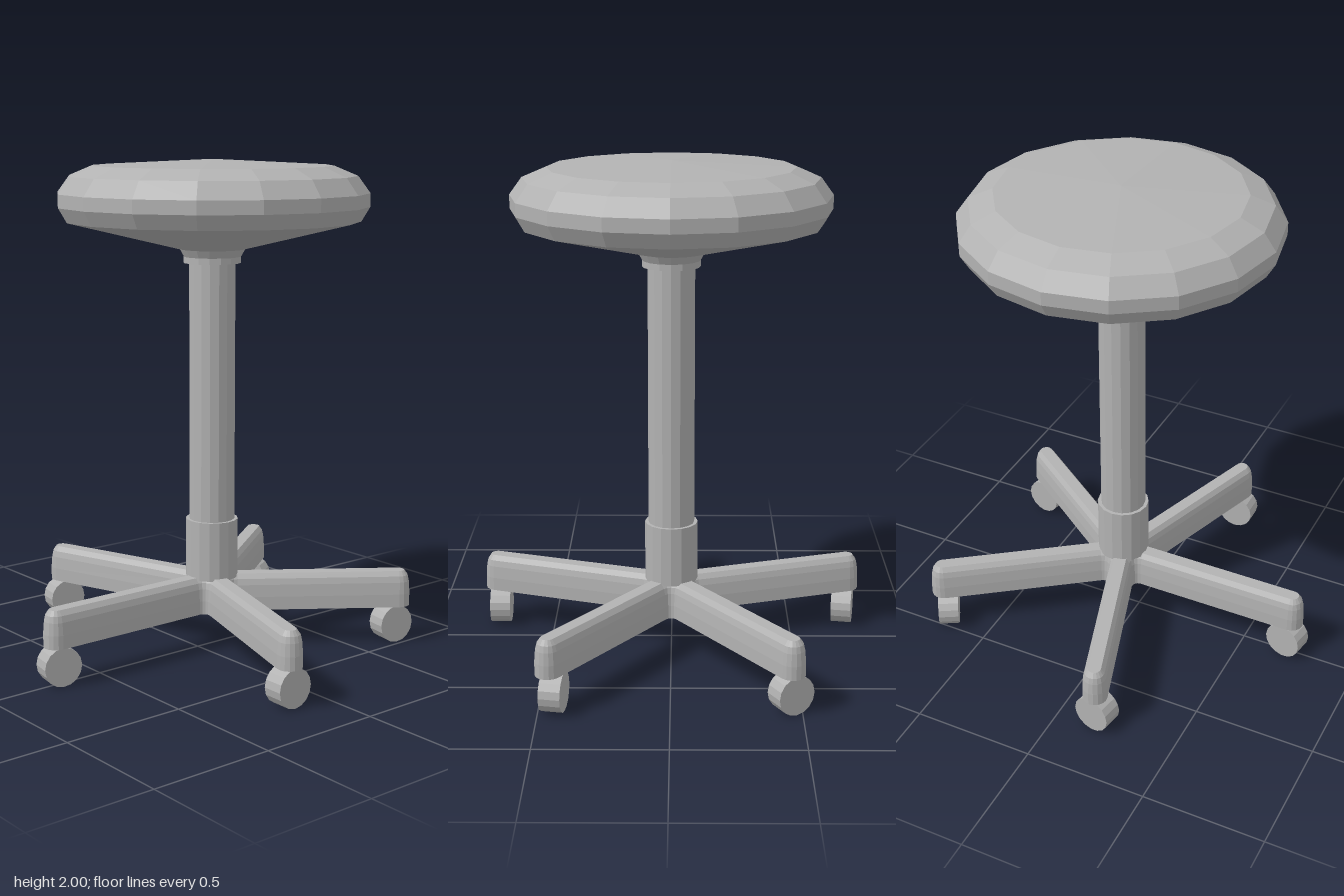
import * as THREE from 'three';

const CX = 0.075; // column axis, the base is slightly off centre
const rad = THREE.MathUtils.degToRad;

// Outline of the five-armed base at half-width w, as [x, z] pairs
function starOutline(w) {
  const pts = [];
  const tipCentre = 0.78, tipSteps = 8, filletSteps = 4;
  const filletOffset = 0.076, filletR = filletOffset - w;
  const filletCentre = filletOffset / Math.sin(rad(36));
  for (let k = 0; k < 5; k++) {
    const arm = rad(36 + 72 * k);
    // rounded tip
    for (let i = 0; i <= tipSteps; i++) {
      const a = arm - Math.PI / 2 + Math.PI * i / tipSteps;
      pts.push([tipCentre * Math.cos(arm) + w * Math.cos(a), tipCentre * Math.sin(arm) + w * Math.sin(a)]);
    }
    // concave fillet towards the next arm
    const mid = arm + rad(36);
    for (let i = 0; i <= filletSteps; i++) {
      const a = mid + Math.PI + rad(54 - 108 * i / filletSteps);
      pts.push([filletCentre * Math.cos(mid) + filletR * Math.cos(a), filletCentre * Math.sin(mid) + filletR * Math.sin(a)]);
    }
  }
  return pts;
}

// Loft the star through [half-width, y] levels and close both ends
function baseGeometry() {
  const levels = [[0.05, 0.155], [0.05, 0.21], [0.046, 0.26], [0.04, 0.285], [0.026, 0.305]];
  const rings = levels.map(([w, y]) => starOutline(w).map(([x, z]) => [x, y, z]));
  const n = rings[0].length;
  const pos = [...rings.flat(2), 0, 0.155, 0, 0, 0.305, 0];
  const bottom = n * rings.length, top = bottom + 1, last = n * (rings.length - 1);
  const idx = [];
  for (let i = 0; i < n; i++) {
    const j = (i + 1) % n;
    for (let r = 0; r < rings.length - 1; r++) {
      const a = r * n + i, d = r * n + j;
      idx.push(a, a + n, d, a + n, d + n, d);
    }
    idx.push(bottom, i, j, top, last + j, last + i);
  }
  const g = new THREE.BufferGeometry();
  g.setAttribute('position', new THREE.Float32BufferAttribute(pos, 3));
  g.setIndex(idx);
  g.computeVertexNormals();
  return g;
}

export function createModel() {
  const group = new THREE.Group();
  const grey = new THREE.MeshStandardMaterial({ color: 0xb2b2b2, flatShading: true });
  grey.name = 'grey';

  const add = (name, geometry, x, y, z) => {
    const mesh = new THREE.Mesh(geometry, grey);
    mesh.name = name;
    mesh.position.set(x, y, z);
    group.add(mesh);
    return mesh;
  };

  // Round cushion with conical underside and mounting collar
  const profile = [
    [0, 1.59], [0.115, 1.59], [0.115, 1.615], [0.132, 1.645], [0.59, 1.757],
    [0.624, 1.815], [0.624, 1.868], [0.575, 1.935], [0.48, 1.975], [0, 2],
  ].map(([r, y]) => new THREE.Vector2(r, y));
  add('seat', new THREE.LatheGeometry(profile, 16), CX, 0, 0);

  // Post and its lower sleeve
  add('column', new THREE.CylinderGeometry(0.093, 0.093, 1.3, 16), CX, 0.95, 0);
  add('sleeve', new THREE.CylinderGeometry(0.107, 0.107, 0.245, 16), CX, 0.4175, 0);

  // Five-armed base
  add('base', baseGeometry(), CX, 0, 0);

  // Casters as [x, z, swivel in degrees]
  const wheel = new THREE.CylinderGeometry(0.078, 0.078, 0.084, 16).rotateX(Math.PI / 2);
  const casters = [
    [-0.692, 0, -10], [-0.162, 0.73, 0], [-0.168, -0.73, -10], [0.688, 0.44, -10], [0.69, -0.456, -60],
  ];
  for (const [x, z, swivel] of casters) {
    add('caster', wheel, x, 0.078, z).rotation.y = rad(swivel);
  }
  return group;
}
